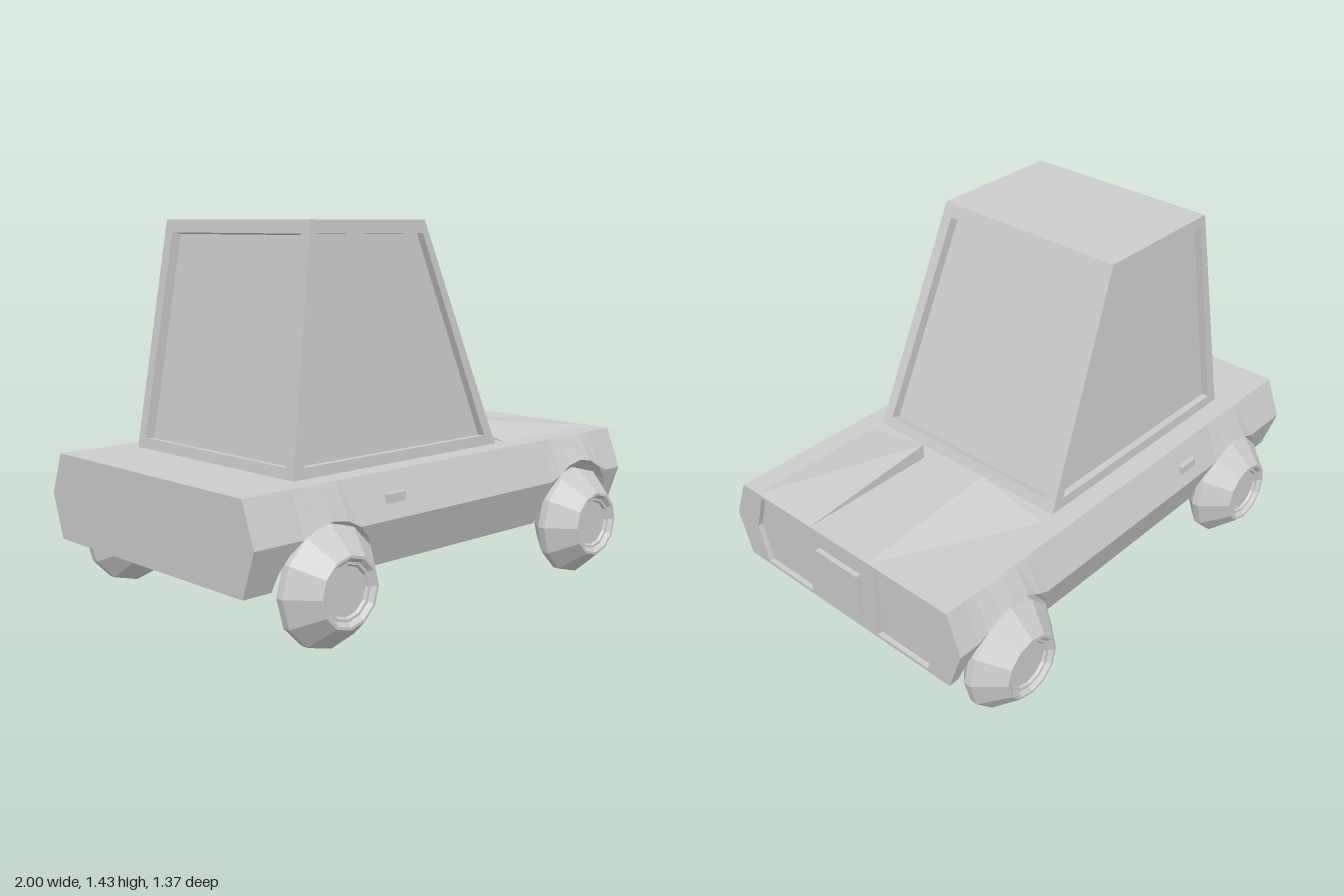
import * as THREE from 'three';

const grey = new THREE.MeshStandardMaterial({ color: 0xcccccc, flatShading: true });
const V = (x, y, z) => new THREE.Vector3(x, y, z);

// Flat-faced geometry from quads, corners counter-clockwise seen from outside
function fromQuads(quads) {
  const pts = quads.flatMap(([a, b, c, d]) => [a, b, c, a, c, d]);
  const g = new THREE.BufferGeometry().setFromPoints(pts);
  g.computeVertexNormals();
  return g;
}

function add(parent, name, geometry, x = 0, y = 0, z = 0) {
  const mesh = new THREE.Mesh(geometry, grey);
  mesh.name = name;
  mesh.position.set(x, y, z);
  parent.add(mesh);
  return mesh;
}

// Underside line: floor with a wheel arch at the rear and a taller one in front
const FLOOR = 0.23, RIDGE = 0.4, TOP = 0.56;
function undersideLine() {
  const line = [[-1, FLOOR]];
  const arch = (cx, rx, ry) => {
    for (let i = 0; i <= 10; i++) {
      const t = Math.PI * (1 - i / 10);
      line.push([cx + rx * Math.cos(t), FLOOR + ry * Math.sin(t)]);
    }
  };
  arch(-0.66, 0.22, 0.21);
  arch(0.71, 0.225, 0.235);
  line.push([0.96, FLOOR]);
  return line;
}

// Hull lofted from six-sided sections, with arches running across the full width
function hullGeometry() {
  const rings = undersideLine().map(([x, y]) => {
    const ridge = Math.max(RIDGE, y);
    const zb = y < RIDGE ? 0.54 + 0.06 * (y - FLOOR) / (RIDGE - FLOOR) : 0.6;
    return [[TOP, 0.54], [ridge, 0.6], [y, zb], [y, -zb], [ridge, -0.6], [TOP, -0.54]]
      .map(([py, pz]) => V(x, py, pz));
  });
  const quads = [];
  for (let i = 0; i < rings.length - 1; i++) {
    for (let j = 0; j < 6; j++) {
      const k = (j + 1) % 6;
      quads.push([rings[i][j], rings[i][k], rings[i + 1][k], rings[i + 1][j]]);
    }
  }
  const r = rings[0], f = rings[rings.length - 1];
  quads.push([r[5], r[4], r[1], r[0]], [r[4], r[3], r[2], r[1]]);
  quads.push([f[0], f[1], f[4], f[5]], [f[1], f[2], f[3], f[4]]);
  return fromQuads(quads);
}

// Nose plate with two headlight openings
function noseGeometry() {
  const toPath = (P, pts) => new P(pts.map(([x, y]) => new THREE.Vector2(x, y)));
  const shape = toPath(THREE.Shape, [[-0.54, FLOOR], [0.54, FLOOR], [0.6, RIDGE],
    [0.54, TOP], [-0.54, TOP], [-0.6, RIDGE]]);
  for (const s of [1, -1]) {
    shape.holes.push(toPath(THREE.Path, [[0.18, 0.245], [0.435, 0.245], [0.48, 0.395],
      [0.435, 0.545], [0.18, 0.545]].map(([x, y]) => [x * s, y])));
  }
  return new THREE.ExtrudeGeometry(shape, { depth: 0.02, bevelEnabled: false }).rotateY(Math.PI / 2);
}

// Frame, reveal and sunken pane for one cabin face (corners bl, br, tr, tl)
function windowFace([bl, br, tr, tl], depth) {
  const at = (u, v) => bl.clone().lerp(br, u).lerp(tl.clone().lerp(tr, u), v);
  const outer = [bl, br, tr, tl];
  const rim = [at(0.045, 0.046), at(0.955, 0.046), at(0.945, 0.945), at(0.055, 0.945)];
  const n = br.clone().sub(bl).cross(tl.clone().sub(bl)).normalize();
  const pane = rim.map(p => p.clone().addScaledVector(n, -depth));
  const quads = [pane];
  for (let i = 0; i < 4; i++) {
    const k = (i + 1) % 4;
    quads.push([outer[i], outer[k], rim[k], rim[i]], [rim[i], rim[k], pane[k], pane[i]]);
  }
  return fromQuads(quads);
}

function addCabin(parent) {
  const cabin = new THREE.Group();
  cabin.name = 'cabin';
  const b = [V(-0.71, TOP, 0.455), V(0.34, TOP, 0.455), V(0.34, TOP, -0.455), V(-0.71, TOP, -0.455)];
  const t = [V(-0.585, 1.43, 0.41), V(-0.025, 1.43, 0.41), V(-0.025, 1.43, -0.41), V(-0.585, 1.43, -0.41)];
  ['leftWindow', 'windshield', 'rightWindow', 'rearWindow'].forEach((name, i) => {
    const k = (i + 1) % 4;
    add(cabin, name, windowFace([b[i], b[k], t[k], t[i]], i % 2 ? 0.04 : 0.03));
  });
  add(cabin, 'roof', fromQuads([t]));
  parent.add(cabin);
}

// Wedge on the hood, falling away forwards and outwards
function hoodWedge(s) {
  const peak = V(0.4, 0.62, 0.155 * s), foot = V(0.4, TOP, 0.155 * s);
  const out = V(0.4, TOP, 0.455 * s), nose = V(0.98, TOP, 0.155 * s), noseOut = V(0.98, TOP, 0.455 * s);
  const quads = [[peak, out, noseOut, nose], [foot, peak, nose, nose], [foot, out, peak, peak]];
  return fromQuads(s > 0 ? quads : quads.map(q => [...q].reverse()));
}

// Twelve-sided wheel with a chamfered tire and a sunken hub
function wheelGeometry(s) {
  const profile = [[0, -0.105], [0.128, -0.105], [0.215, -0.018], [0.215, 0.012], [0.128, 0.11],
    [0.118, 0.11], [0.104, 0.095], [0.094, 0.095], [0.088, 0.085], [0, 0.085]];
  return new THREE.LatheGeometry(profile.map(([r, y]) => new THREE.Vector2(r, y)), 12)
    .rotateX(s * Math.PI / 2);
}

export function createModel() {
  const car = new THREE.Group();
  car.name = 'car';

  add(car, 'hull', hullGeometry());
  add(car, 'nose', noseGeometry(), 0.96);
  add(car, 'grille', new THREE.BoxGeometry(0.04, 0.185, 0.22), 0.98, 0.395, 0);
  addCabin(car);

  for (const [side, s] of [['left', -1], ['right', 1]]) {
    add(car, side + 'HoodWedge', hoodWedge(s));
    add(car, side + 'DoorHandle', new THREE.BoxGeometry(0.09, 0.033, 0.03), -0.345, 0.472, 0.572 * s);
    add(car, side + 'RearWheel', wheelGeometry(s), -0.66, 0.215, 0.575 * s);
    add(car, side + 'FrontWheel', wheelGeometry(s), 0.71, 0.215, 0.575 * s);
  }
  return car;
}
